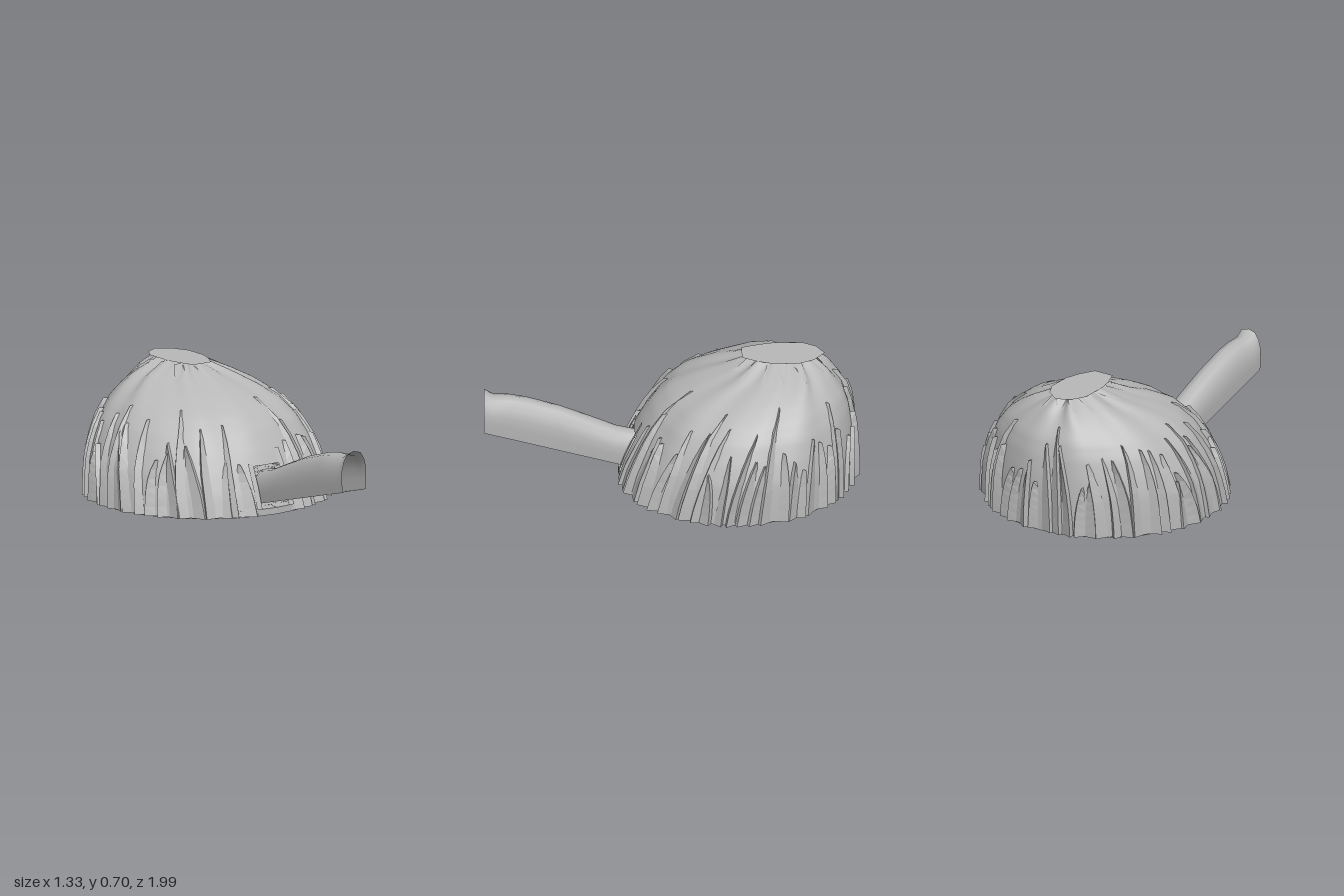
import * as THREE from 'three';

// Dome silhouette by level: [height, front z, back z, half width]
const LEVELS = [
  [0.01, 0.305, -0.97, 0.645], [0.12, 0.27, -0.968, 0.635], [0.22, 0.225, -0.963, 0.62],
  [0.32, 0.175, -0.955, 0.585], [0.42, 0.11, -0.94, 0.535], [0.5, 0.025, -0.915, 0.465],
  [0.57, -0.11, -0.87, 0.375], [0.63, -0.27, -0.83, 0.27], [0.695, -0.4, -0.755, 0.115],
];

let seed = 11;
function rand(a, b) {
  seed = (seed * 16807) % 2147483647;
  return a + (b - a) * (seed / 2147483647);
}

// Point on the dome; angle 0 faces the front
function domePoint(angle, y, out = 0) {
  let i = 0;
  while (i < LEVELS.length - 2 && y > LEVELS[i + 1][0]) i++;
  const [a, b] = [LEVELS[i], LEVELS[i + 1]];
  const t = (y - a[0]) / (b[0] - a[0]);
  const [zf, zb, rx] = [1, 2, 3].map((k) => a[k] + (b[k] - a[k]) * t);
  // Radial valleys deepen sharply towards the crown
  const depth = 0.015 + 0.05 * Math.max(0, (y - 0.25) / 0.45) + 0.3 * Math.max(0, (y - 0.5) / 0.2) ** 2.5;
  const wave = 0.5 + 0.32 * Math.cos(angle * 9 + 2.6) + 0.18 * Math.sin(angle * 14);
  const fold = 1 - depth * wave;
  return new THREE.Vector3(
    Math.sin(angle) * (rx * fold + out), y,
    (zf + zb) / 2 + Math.cos(angle) * (((zf - zb) / 2) * fold + out));
}

// Surface through rows of points, optionally closed around; skip(row, col) leaves a hole
function loft(rows, closed = false, skip = () => false) {
  const n = rows[0].length, index = [];
  for (let r = 0; r < rows.length - 1; r++) {
    for (let c = 0; c < (closed ? n : n - 1); c++) {
      if (skip(r, c)) continue;
      const a = r * n + c, b = r * n + ((c + 1) % n);
      index.push(a, b, b + n, a, b + n, a + n);
    }
  }
  const g = new THREE.BufferGeometry().setFromPoints(rows.flat());
  g.setIndex(index);
  g.computeVertexNormals();
  return g;
}

export function createModel() {
  const group = new THREE.Group();
  const stone = new THREE.MeshStandardMaterial({ color: 0xb8b8b8, side: THREE.DoubleSide });
  stone.name = 'grey stone';
  const add = (name, geometry, parent = group) => {
    const mesh = new THREE.Mesh(geometry, stone);
    mesh.name = name;
    parent.add(mesh);
    return mesh;
  };
  const addGroup = (name) => {
    const g = new THREE.Group();
    g.name = name;
    group.add(g);
    return g;
  };
  const facet = (g) => {
    const flat = g.toNonIndexed();
    flat.computeVertexNormals();
    return flat;
  };

  // Leaning dome skin with a low doorway at the front
  const SEG = 144, ROWS = 28, rows = [];
  for (let r = 0; r <= ROWS; r++) {
    const y = 0.01 + (0.685 * r) / ROWS;
    rows.push(Array.from({ length: SEG }, (_, c) => domePoint((c / SEG) * Math.PI * 2, y)));
  }
  add('domeSkin', loft(rows, true, (r, c) => Math.min(c, SEG - 1 - c) < 4 && r < 10));

  // Upright shards around the wall, each with a broad face and a narrow return
  const shards = addGroup('wallShards');
  const COUNT = 60;
  for (let i = 0; i < COUNT; i++) {
    const angle = ((i + rand(0.25, 0.75)) / COUNT) * Math.PI * 2;
    const height = i % 7 === 3 ? rand(0.48, 0.56) : rand(0.26, 0.48);
    const half = rand(0.045, 0.08), lean = rand(-0.08, 0.08);
    const flip = rand(0, 1) < 0.5 ? 1 : -1, ridge = rand(0.018, 0.032);
    if (Math.min(angle, Math.PI * 2 - angle) < 0.22) continue;
    const strip = [];
    for (let k = 0; k <= 6; k++) {
      const f = k / 6, y = 0.008 + height * f;
      const w = half * (1 - 0.3 * f - 0.55 * f ** 4), mid = angle + lean * f * f;
      strip.push([
        domePoint(mid - w * flip, y, -0.008),
        domePoint(mid + w * flip * 0.7, y, ridge),
        domePoint(mid + w * flip, y, -0.008),
      ]);
    }
    add('shard', facet(loft(strip)), shards);
  }

  // Narrow jambs beside the doorway
  for (const s of [-1, 1]) {
    const jamb = [0.04, 0.14, 0.24, s > 0 ? 0.33 : 0.27].map((y) => [
      domePoint(s * 0.135, y, 0.005), domePoint(s * 0.185, y, 0.01)]);
    add('doorJamb', facet(loft(jamb)));
  }

  // Broken splinters under the crown
  const splinters = addGroup('crownSplinters');
  for (let i = 0; i < 14; i++) {
    const a = (i / 14) * Math.PI * 2 + rand(-0.1, 0.1);
    add('splinter', facet(loft([
      [domePoint(a - 0.2, 0.685, 0.015), domePoint(a + 0.16, 0.695, -0.01)],
      [domePoint(a - 0.02, 0.635, 0.01), domePoint(a + 0.05, 0.64, 0)],
    ])), splinters);
  }

  // Flat cap over the crown
  const cap = new THREE.Shape([
    [0, 0.805], [0.08, 0.745], [0.12, 0.665], [0.12, 0.53], [0.095, 0.45], [0.05, 0.365],
    [-0.065, 0.365], [-0.095, 0.45], [-0.115, 0.53], [-0.115, 0.69], [-0.075, 0.76],
  ].map(([x, y]) => new THREE.Vector2(x, y)));
  add('crownCap', new THREE.ShapeGeometry(cap).rotateX(-Math.PI / 2)).position.y = 0.698;

  // Footing of fitted stones between an irregular opening and the wall
  const opening = new THREE.CatmullRomCurve3([
    [0.33, 0.24], [0.08, 0.33], [-0.15, 0.31], [-0.38, 0.22], [-0.39, 0.02], [-0.26, -0.24],
    [-0.02, -0.38], [0.2, -0.4], [0.28, -0.19], [0.39, 0.06],
  ].map(([x, z]) => new THREE.Vector3(x, -z, 0)), true);
  const footing = addGroup('footing');
  footing.position.set(0, 0.002, -0.335);
  const COURSES = 4, STONES = 34;
  const footPoint = (t, f) => {
    const p = opening.getPoint(((t % 1) + 1) % 1);
    p.lerp(p.clone().setLength(0.628), f);
    return new THREE.Vector2(p.x, p.y);
  };
  for (let c = 0; c < COURSES; c++) {
    for (let i = 0; i < STONES; i++) {
      const t0 = (i + (c % 2) * 0.5) / STONES, t1 = t0 + 0.985 / STONES;
      const f0 = c / COURSES, f1 = (c + 0.98) / COURSES;
      const shape = new THREE.Shape([footPoint(t0, f0), footPoint(t0, f1), footPoint(t1, f1), footPoint(t1, f0)]);
      const block = new THREE.ExtrudeGeometry(shape, { depth: 0.036, bevelEnabled: false });
      add('footingStone', block.rotateX(-Math.PI / 2), footing);
    }
  }

  // Entrance tunnel: [z, floor height, roof height]
  const sections = [
    [1.0, 0.262, 0.478], [0.95, 0.247, 0.447], [0.87, 0.227, 0.447], [0.78, 0.203, 0.432],
    [0.6, 0.155, 0.378], [0.45, 0.115, 0.318], [0.3, 0.075, 0.255], [0.2, 0.048, 0.232],
  ];
  const arch = [[0.075, 0], [0.079, 0.3], [0.078, 0.55], [0.066, 0.77], [0.042, 0.95], [0, 1]];
  const profile = [...arch, ...arch.slice(0, -1).reverse().map(([x, t]) => [-x, t])];
  add('tunnelVault', loft(sections.map(([z, lo, hi]) =>
    profile.map(([x, t]) => new THREE.Vector3(x, lo + (hi - lo) * t, z)))));
  add('tunnelFloor', loft([...sections, [0.14, 0.032, 0]].map(([z, lo]) =>
    [-0.075, 0.075].map((x) => new THREE.Vector3(x, lo + 0.002, z)))));

  return group;
}
